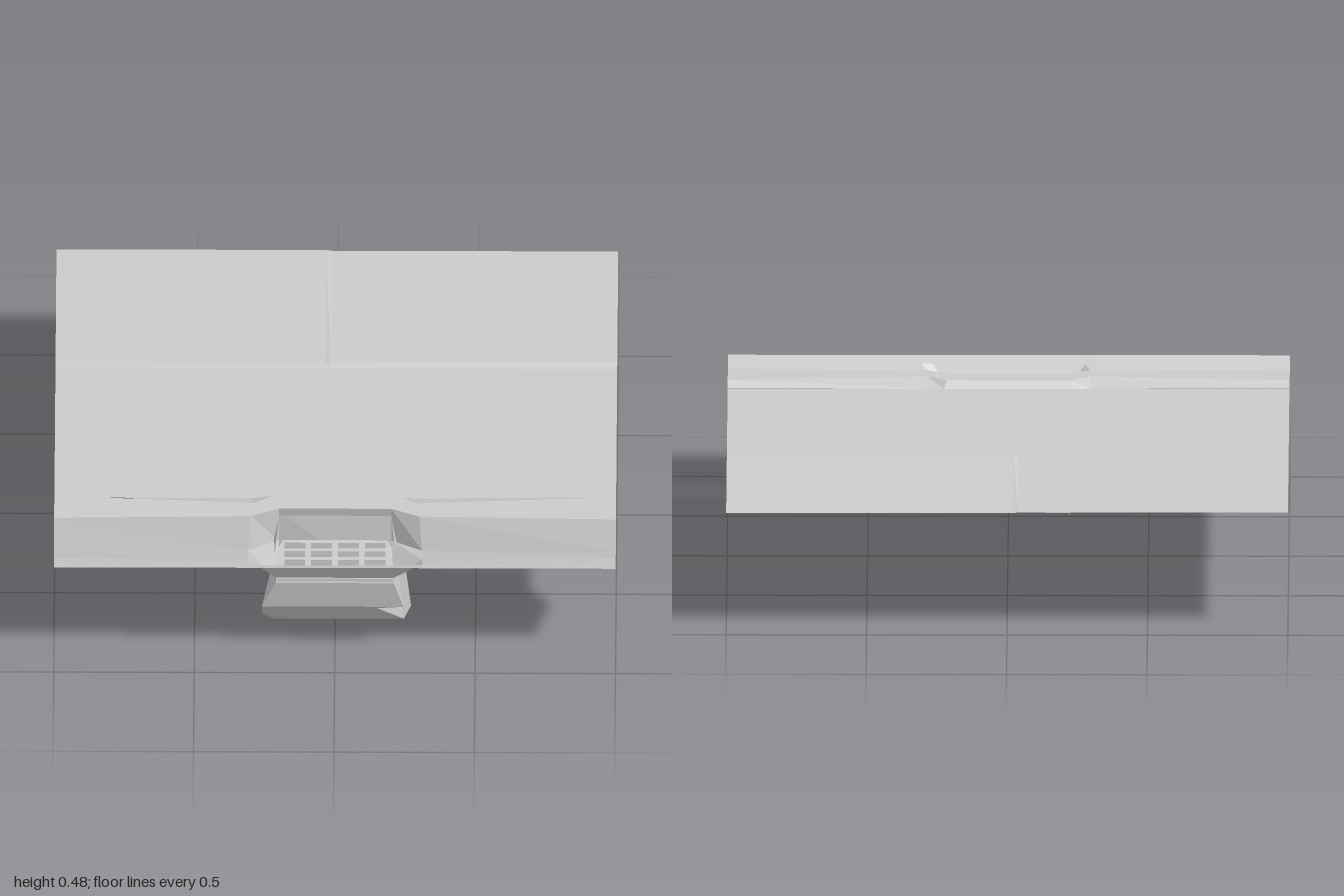
import * as THREE from 'three';

const material = new THREE.MeshStandardMaterial({
  color: 0xcccccc, flatShading: true, side: THREE.DoubleSide,
});

// Joins rows of [x, y, z] points with quads; skip(row, column) leaves a gap.
function sheet(name, rows, skip = () => false) {
  const pos = [];
  for (let i = 0; i < rows.length - 1; i++) {
    for (let j = 0; j < rows[i].length - 1; j++) {
      if (skip(i, j)) continue;
      const a = rows[i][j], b = rows[i + 1][j];
      const c = rows[i + 1][j + 1], d = rows[i][j + 1];
      pos.push(...a, ...b, ...c, ...a, ...c, ...d);
    }
  }
  return mesh(name, pos);
}

function mesh(name, pos) {
  const g = new THREE.BufferGeometry();
  g.setAttribute('position', new THREE.Float32BufferAttribute(pos, 3));
  g.computeVertexNormals();
  const m = new THREE.Mesh(g, material);
  m.name = name;
  return m;
}

// Mirrored row: each entry is [x, y, z] for the outer, shoulder and inner point.
const mirrorRow = (outer, shoulder, inner) => {
  const half = [outer, shoulder, inner];
  return [...half.map(([x, y, z]) => [-x, y, z]), ...half.reverse()];
};

export function createModel() {
  const group = new THREE.Group();

  const foot = mirrorRow([1, 0.455, 0.57], [0.29, 0.455, 0.565], [0.23, 0.455, 0.56]);
  const ridge = mirrorRow([1, 0.48, 0.59], [0.29, 0.48, 0.632], [0.22, 0.48, 0.585]);
  const curbTop = mirrorRow([1, 0.48, 0.73], [0.3, 0.48, 0.715], [0.2, 0.48, 0.667]);
  const gutter = mirrorRow([1, 0.365, 0.767], [0.31, 0.357, 0.75], [0.2, 0.345, 0.67]);
  const apron = mirrorRow([1, 0.42, 0.89], [0.31, 0.408, 0.88], [0.21, 0.345, 0.905]);
  const rim = mirrorRow([1, 0.44, 0.955], [0.31, 0.435, 0.95], [0.27, 0.432, 0.955]);
  const edge = mirrorRow([1, 0.452, 1], [0.31, 0.452, 1], [0.27, 0.452, 1]);

  // Pavement slabs with a shallow joint across them
  const cols = [-1, -0.04, -0.02, 1];
  const slabRow = (z, left, right) => cols.map((x, k) => [x, k < 2 ? left : right, z]);
  group.add(sheet('pavement', [
    slabRow(-1, 0.455, 0.452),
    slabRow(-0.285, 0.459, 0.463),
    slabRow(-0.255, 0.455, 0.455),
    slabRow(0.565, 0.455, 0.455),
  ]));

  // Kerb, open in the middle above the drain
  group.add(sheet('kerb', [foot, ridge, curbTop, gutter], (i, j) => i === 2 && j === 2));
  group.add(sheet('kerbLintel', [
    [[-0.2, 0.48, 0.667], [0.2, 0.48, 0.667]],
    [[-0.2, 0.445, 0.66], [0.2, 0.445, 0.66]],
  ]));

  // Road surface dipping to the grate
  group.add(sheet('road', [gutter, apron, rim, edge], (i, j) => i === 0 && j === 2));

  // Grate plate with a four by four set of slots
  const plate = new THREE.Shape([
    [-0.185, 0.665], [0.185, 0.665], [0.212, 0.74], [0.205, 0.908], [-0.205, 0.908], [-0.212, 0.74],
  ].map(([x, z]) => new THREE.Vector2(x, z)));
  for (const x of [-0.143, -0.048, 0.048, 0.143]) {
    for (const z of [0.7, 0.753, 0.807, 0.86]) {
      const w = 0.037, d = 0.018;
      plate.holes.push(new THREE.Path([
        [x - w, z - d], [x - w, z + d], [x + w, z + d], [x + w, z - d],
      ].map(([px, pz]) => new THREE.Vector2(px, pz))));
    }
  }
  const grateGeometry = new THREE.ExtrudeGeometry(plate, { depth: 0.018, bevelEnabled: false });
  grateGeometry.rotateX(Math.PI / 2);
  const grate = new THREE.Mesh(grateGeometry, material);
  grate.name = 'grate';
  grate.position.y = 0.343;
  group.add(grate);

  // Catch basin: a lopsided shell between a right and a left side profile
  const right = [
    [-0.2, 0.445, 0.66], [-0.22, 0.4, 0.54], [-0.22, 0, 0.54], [-0.22, 0.07, 0.76],
    [-0.26, 0.14, 0.83], [-0.26, 0.21, 0.89], [-0.21, 0.325, 0.91], [-0.21, 0.343, 0.905],
  ];
  const left = [
    [0.2, 0.445, 0.66], [0.22, 0.4, 0.54], [0.27, 0, 0.575], [0.245, 0.07, 0.76],
    [0.15, 0.17, 0.84], [0.245, 0.21, 0.89], [0.21, 0.325, 0.91], [0.21, 0.343, 0.905],
  ];
  group.add(sheet('basinShell', right.map((p, i) => [p, left[i]])));

  // Basin side walls, fanned from the top corner beside the grate
  for (const [name, side, s] of [['basinRightWall', right, -1], ['basinLeftWall', left, 1]]) {
    const hub = [s * 0.215, 0.34, 0.755];
    const pos = [];
    for (let i = 0; i < side.length - 1; i++) {
      const [a, b] = s < 0 ? [side[i], side[i + 1]] : [side[i + 1], side[i]];
      pos.push(...hub, ...a, ...b);
    }
    group.add(mesh(name, pos));
  }

  return group;
}
